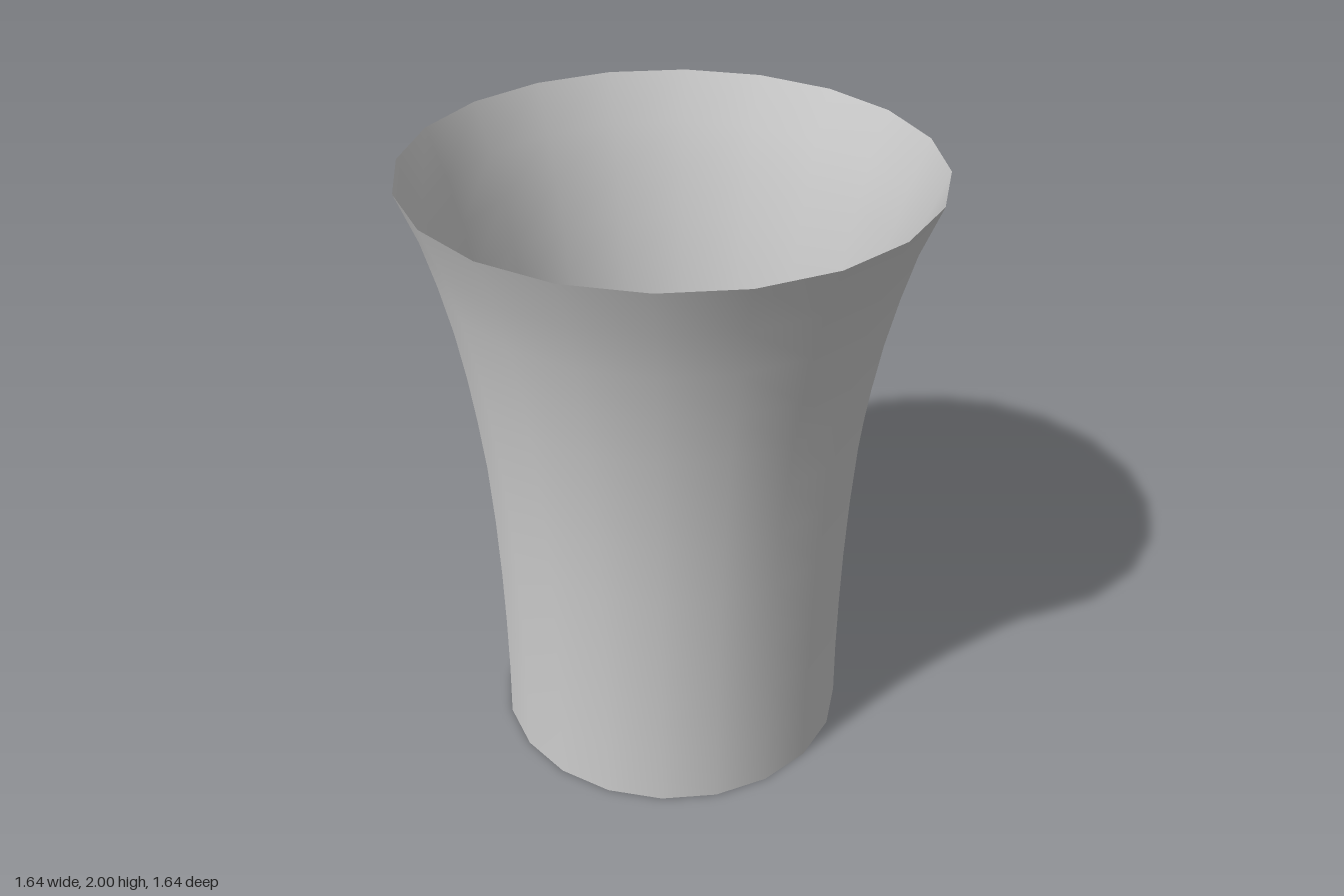
import * as THREE from 'three';

export function createModel() {
  const group = new THREE.Group();
  group.name = 'flaredSleeve';

  // Wall profile: radius, height, from the straight foot to the flared rim
  const profile = [
    [0.583, 0], [0.58, 0.2], [0.581, 0.4], [0.585, 0.6], [0.594, 0.82], [0.608, 1.03],
    [0.628, 1.21], [0.65, 1.37], [0.678, 1.53], [0.715, 1.69], [0.757, 1.84], [0.82, 2],
  ].map(([r, y]) => new THREE.Vector2(r, y));

  // Thin open tube with twenty sides, no floor or lid
  const wall = new THREE.Mesh(
    new THREE.LatheGeometry(profile, 20),
    new THREE.MeshStandardMaterial({ color: 0xcccccc, side: THREE.DoubleSide })
  );
  wall.name = 'flaredWall';
  group.add(wall);
  return group;
}
